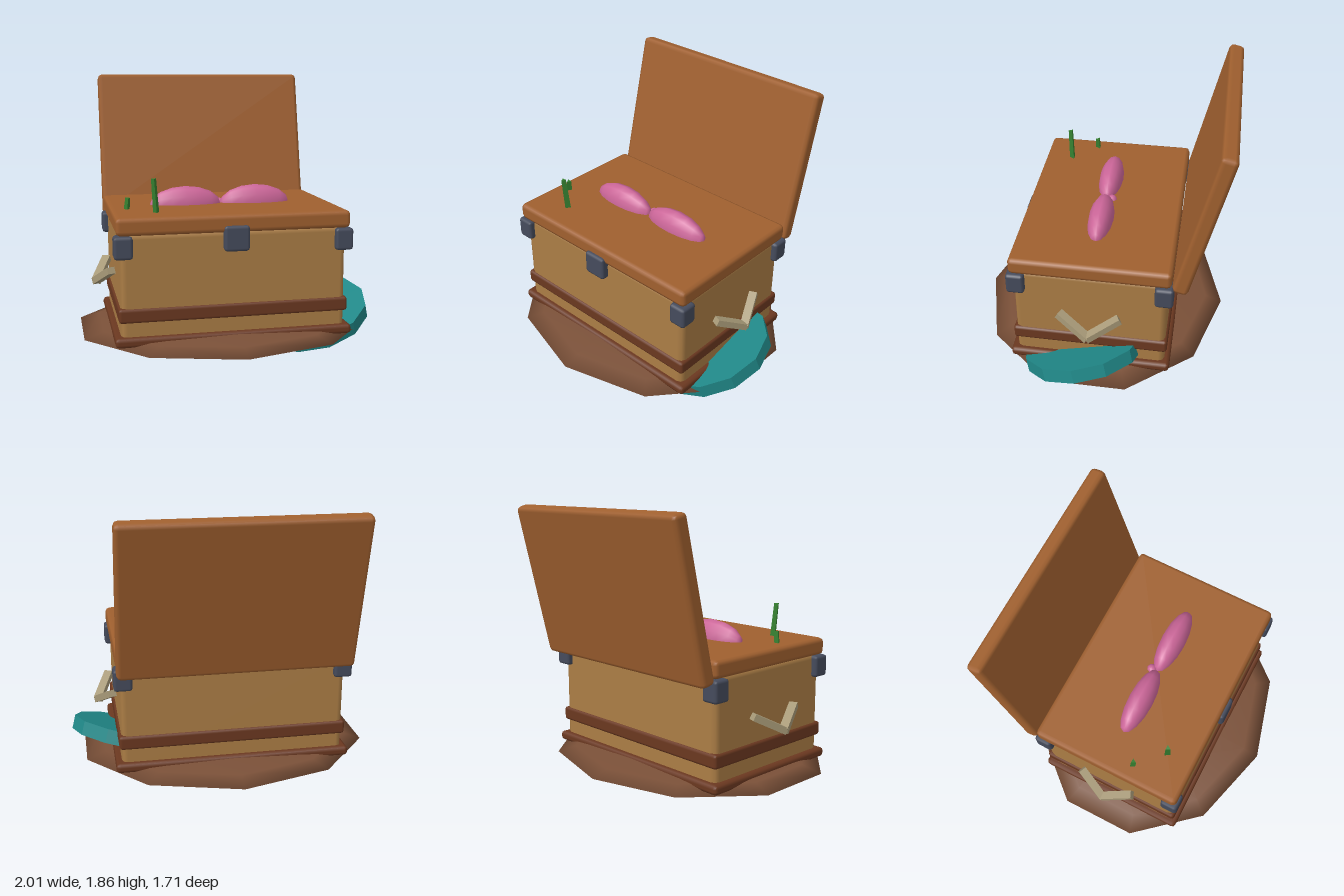
import * as THREE from 'three';
import { RoundedBoxGeometry } from 'three/addons/geometries/RoundedBoxGeometry.js';

const CX = -0.045; // centre line of the chest

const mat = (color, flat = false) => new THREE.MeshStandardMaterial({ color, flatShading: flat });
const wood = mat(0xa0602f);
const panel = mat(0xab7d45);
const strap = mat(0x6b3820);
const metal = mat(0x454b5c);
const soil = mat(0x7a5038);
const pink = mat(0xcc6699);
const teal = mat(0x208888, true);
const green = mat(0x358030, true);
const bone = mat(0xa89a78, true);

export function createModel() {
  const model = new THREE.Group();
  model.name = 'openChest';

  const add = (name, geometry, material, x, y, z) => {
    const mesh = new THREE.Mesh(geometry, material);
    mesh.name = name;
    mesh.position.set(x, y, z);
    model.add(mesh);
    return mesh;
  };
  // Box with chamfered edges
  const box = (name, material, [w, h, d], [x, y, z], bevel = 0.025) =>
    add(name, new RoundedBoxGeometry(w, h, d, 1, bevel), material, x, y, z);

  // Chest body, top board and straps
  box('body', panel, [1.48, 0.76, 1.0], [CX, 0.51, 0], 0.04);
  box('topBoard', wood, [1.53, 0.115, 1.05], [CX, 0.932, 0], 0.03);
  box('upperStrap', strap, [1.51, 0.095, 1.03], [CX, 0.362, 0], 0.02);
  box('lowerStrap', strap, [1.56, 0.065, 1.075], [CX, 0.193, 0], 0.025);

  // Lid leaning back
  const lid = box('lid', wood, [1.53, 1.04, 0.105], [CX, 1.348, -0.69], 0.03);
  lid.rotation.x = -0.23;

  // Metal corners and latch
  for (const sx of [-1, 1]) {
    for (const sz of [-1, 1]) {
      box('cornerBracket', metal, [0.12, 0.145, 0.12], [CX + sx * 0.72, 0.802, sz * 0.48], 0.02);
    }
  }
  box('latch', metal, [0.165, 0.165, 0.08], [CX, 0.838, 0.51], 0.02);

  // Flattened ground mound
  const moundGeo = new THREE.SphereGeometry(1, 10, 6).rotateY(Math.PI / 2).scale(1.01, 0.08, 0.855);
  add('groundMound', moundGeo, soil, CX, 0.15, 0);

  // Side handles: two bars meeting in a V
  const bar = (name, from, to) => {
    const dir = to.clone().sub(from);
    const mid = from.clone().add(to).multiplyScalar(0.5);
    const mesh = add(name, new THREE.BoxGeometry(0.055, 0.045, dir.length()), bone, mid.x, mid.y, mid.z);
    mesh.lookAt(to);
  };
  for (const sx of [-1, 1]) {
    for (const sz of [-1, 1]) {
      bar('handleBar',
        new THREE.Vector3(CX + sx * 0.772, 0.592, sz * 0.2),
        new THREE.Vector3(CX + sx * 0.862, 0.478, -sz * 0.008));
    }
  }

  // Tilted disc tucked under one corner
  const disc = add('tiltedDisc', new THREE.CylinderGeometry(0.415, 0.415, 0.095, 12), teal, 0.59, 0.187, 0.055);
  disc.quaternion.setFromUnitVectors(
    new THREE.Vector3(0, 1, 0), new THREE.Vector3(-0.27, 1, 0.25).normalize());

  // Pink bow on the top board
  for (const sx of [-1, 1]) {
    const lobe = new THREE.SphereGeometry(1, 12, 8).rotateZ(Math.PI / 2).scale(0.247, 0.13, 0.086);
    add('bowLobe', lobe, pink, CX + sx * 0.243, 0.98, 0);
  }
  add('bowKnot', new THREE.SphereGeometry(0.035, 8, 6), pink, CX, 0.982, -0.04);

  // Grass blades
  const blade = (x, z, h, leanZ, leanX) => {
    const geo = new THREE.CylinderGeometry(0.019, 0.023, h, 3).translate(0, h / 2, 0);
    add('grassBlade', geo, green, x, 0.97, z).rotation.set(leanX, 0, leanZ);
  };
  blade(-0.53, 0.325, 0.24, 0.07, 0.05);
  blade(-0.705, 0.157, 0.095, -0.1, 0.05);

  return model;
}
